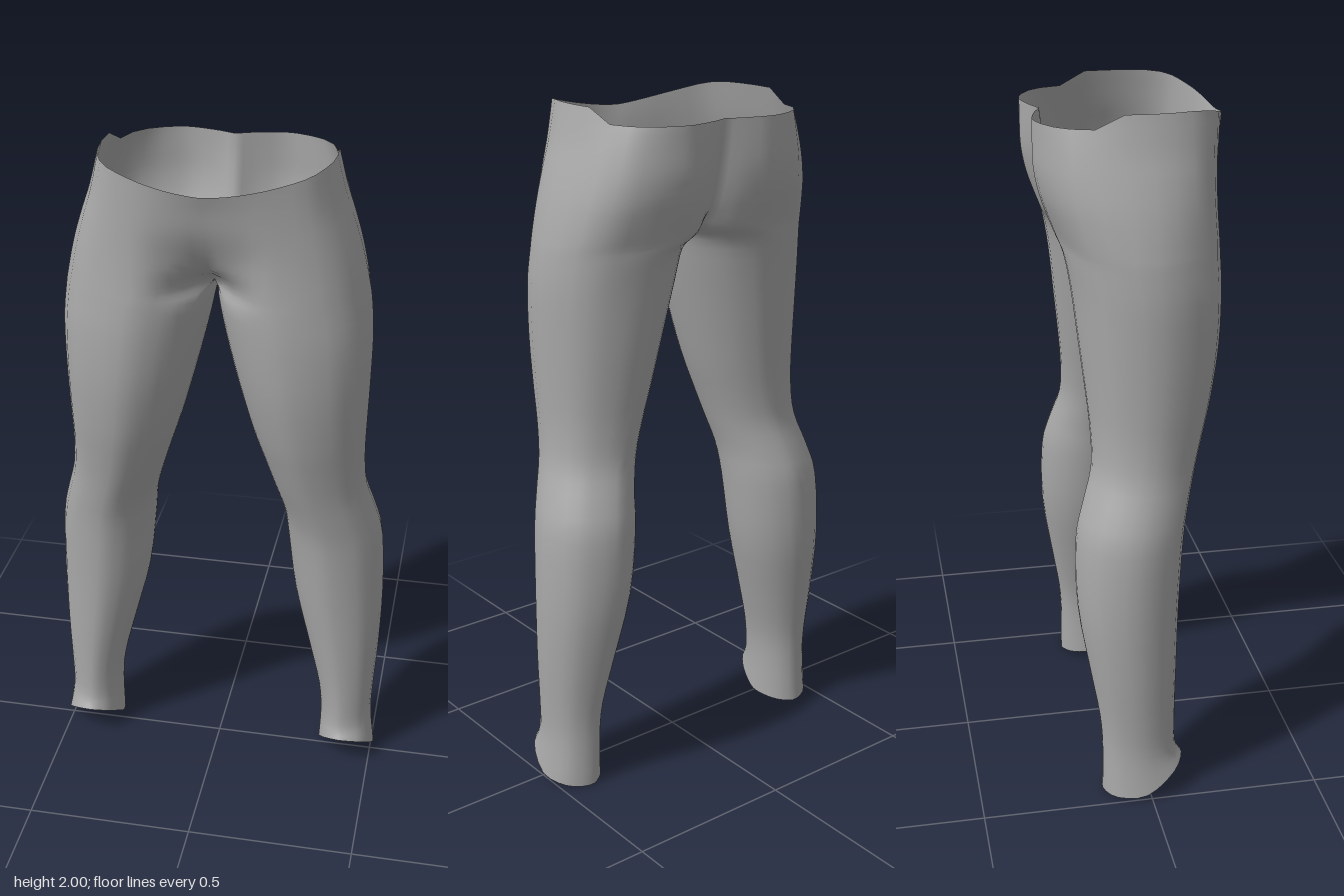
import * as THREE from 'three';
import { mergeVertices } from 'three/addons/utils/BufferGeometryUtils.js';

const COLS = 36;   // points around a leg
const OUTER = 24;  // columns 0..24 carry on up into the hips
const STEPS = 3;   // rows between cross-sections

// Leg sections: height, outer x, inner x, front z, back z
const LEG = [
  [0.02, 0.51, 0.33, 0.105, -0.135],
  [0.14, 0.495, 0.333, 0.085, -0.133],
  [0.25, 0.497, 0.322, 0.084, -0.14],
  [0.4, 0.505, 0.285, 0.09, -0.165],
  [0.6, 0.508, 0.235, 0.1, -0.195],
  [0.8, 0.498, 0.21, 0.115, -0.195],
  [0.9, 0.475, 0.198, 0.132, -0.172],
  [1.0, 0.446, 0.17, 0.156, -0.142],
  [1.1, 0.437, 0.138, 0.182, -0.14],
  [1.2, 0.438, 0.105, 0.206, -0.148],
  [1.35, 0.442, 0.063, 0.23, -0.164],
  [1.5, 0.443, 0.025, 0.238, -0.18],
  [1.6, 0.434, 0.004, 0.236, -0.197],
];

// Hip sections: height, outer x, then z at front middle, front, thigh, seat, cleft side, back middle
const HIP = [
  [1.645, 0.426, 0.075, 0.19, 0.234, -0.212, -0.19, -0.12],
  [1.7, 0.414, 0.15, 0.205, 0.231, -0.232, -0.215, -0.165],
  [1.76, 0.398, 0.195, 0.218, 0.229, -0.252, -0.235, -0.19],
  [1.83, 0.375, 0.23, 0.236, 0.229, -0.264, -0.25, -0.208],
  [1.9, 0.35, 0.25, 0.248, 0.23, -0.265, -0.255, -0.222],
  [2.0, 0.323, 0.265, 0.258, 0.232, -0.265, -0.255, -0.23],
];

const ANGLES = [140, 118, 90, 45, 0, -45, -90, -118, -140, -160, 180, 160];
const V = (x, y, z) => new THREE.Vector3(x, y, z);
const spline = (points, closed = false) => new THREE.CatmullRomCurve3(points, closed, 'catmullrom', 0.5);

function legRing([y, xo, xi, zf, zb], index) {
  const cx = (xo + xi) / 2, cz = (zf + zb) / 2;
  const points = ANGLES.map((deg) => {
    const a = THREE.MathUtils.degToRad(deg), s = Math.sin(a);
    // the ankle hem arches up over the front
    const h = index === 0 ? 0.02 + 0.02 * s + 0.06 * Math.max(0, s) : y;
    return V(cx + Math.cos(a) * (xo - xi) / 2, h, cz + s * (zf - zb) / 2);
  });
  const curve = spline(points, true);
  return Array.from({ length: COLS }, (_, k) => curve.getPoint(k / COLS));
}

function hipRing([y, xo, f0, f1, f2, b2, b1, b0], index) {
  const cx = 0.2, d = 0.707, xd = cx + d * (xo - cx);
  const curve = spline([
    V(0, y, f0), V(0.1, y, f1), V(cx, y, f2), V(xd, y, 0.01 + d * f2), V(xo, y, 0.02),
    V(xd, y, d * b2), V(0.17, y, b2), V(0.07, y, b1), V(0, y, b0),
  ]);
  const ring = Array.from({ length: OUTER + 1 }, (_, k) => curve.getPoint(k / OUTER));
  if (index === 0) {
    // crotch seam closes the first ring along the middle
    for (let k = OUTER + 1; k < COLS; k++) {
      const t = (k - OUTER) / (COLS - OUTER);
      ring.push(V(0, y - 0.018 * Math.sin(Math.PI * t), THREE.MathUtils.lerp(b0, f0, t)));
    }
  }
  if (index === HIP.length - 1) {
    // waist dips at the front middle and behind the hips
    for (const p of ring) {
      if (p.z > 0) p.y -= 0.055 * (1 - Math.min(1, p.x / 0.3) ** 1.5);
      else p.y -= 0.038 * THREE.MathUtils.smoothstep(-p.z, 0.06, 0.12);
    }
  }
  return ring;
}

function buildSurface() {
  const rings = [...LEG.map(legRing), ...HIP.map(hipRing)];
  const legRows = LEG.length * STEPS;
  const rows = (rings.length - 1) * STEPS;
  const positions = [], indices = [];

  // smooth each column from hem to waist, or to the crotch on the inner thigh
  const columns = [];
  for (let k = 0; k < COLS; k++) {
    const points = rings.filter((ring) => ring[k]).map((ring) => ring[k]);
    const curve = spline(points);
    const count = (points.length - 1) * STEPS;
    columns.push(Array.from({ length: count + 1 }, (_, r) => {
      const p = curve.getPoint(r / count);
      const onSeam = r >= legRows && (k === 0 || k >= OUTER);
      p.x = onSeam ? 0 : Math.max(0, p.x);
      return p;
    }));
  }

  // both sides, mirrored
  for (const side of [1, -1]) {
    const base = positions.length / 3;
    const ids = columns.map((column) => column.map((p) => {
      positions.push(side * p.x, p.y, p.z);
      return positions.length / 3 - 1;
    }));
    for (let r = 0; r < rows; r++) {
      const n = r < legRows ? COLS : OUTER;
      for (let k = 0; k < n; k++) {
        const k2 = (k + 1) % COLS;
        const a = ids[k][r], b = ids[k2][r], c = ids[k2][r + 1], d = ids[k][r + 1];
        if (side > 0) indices.push(a, b, c, a, c, d);
        else indices.push(a, c, b, a, d, c);
      }
    }
  }

  const geometry = new THREE.BufferGeometry();
  geometry.setAttribute('position', new THREE.Float32BufferAttribute(positions, 3));
  geometry.setIndex(indices);
  const merged = mergeVertices(geometry, 1e-5);
  merged.computeVertexNormals();
  return merged;
}

export function createModel() {
  const group = new THREE.Group();
  group.name = 'leggings';
  const fabric = new THREE.MeshStandardMaterial({ color: 0xa8a8a8, side: THREE.DoubleSide });
  fabric.name = 'grey fabric';
  const mesh = new THREE.Mesh(buildSurface(), fabric);
  mesh.name = 'legsAndHips';
  group.add(mesh);
  return group;
}
